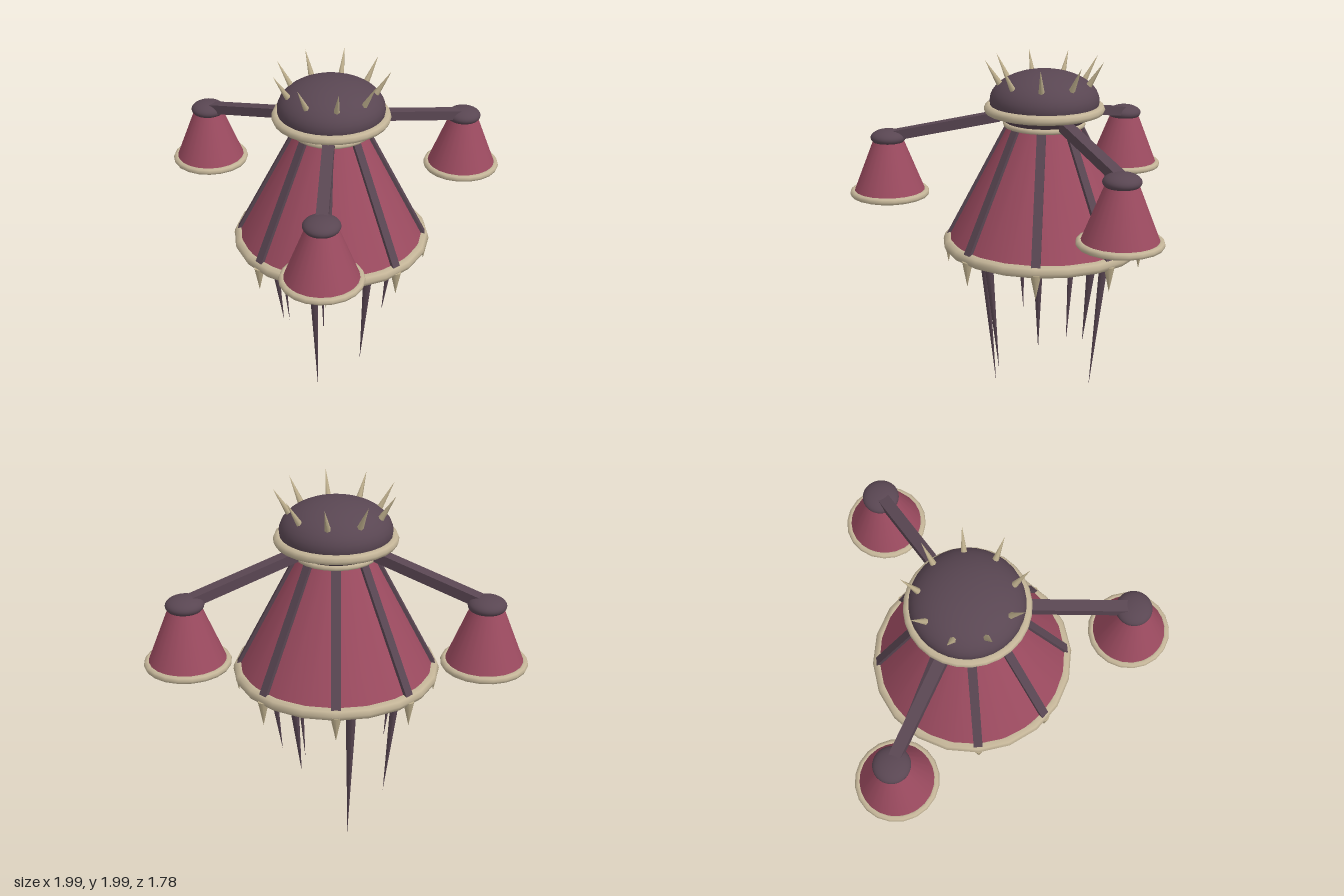
import * as THREE from 'three';

const mat = (name, color, side = THREE.FrontSide) => {
  const m = new THREE.MeshStandardMaterial({ color, side });
  m.name = name;
  return m;
};

export function createModel() {
  const dark = mat('dark purple metal', 0x594652);
  const red = mat('red shell', 0x9c4b60, THREE.DoubleSide);
  const bone = mat('bone trim', 0xc4b598);
  const horn = mat('horn', 0xbdae8c);
  const glow = mat('green glow', 0x74d04a);

  const add = (parent, name, geometry, material, x = 0, y = 0, z = 0) => {
    const mesh = new THREE.Mesh(geometry, material);
    mesh.name = name;
    mesh.position.set(x, y, z);
    parent.add(mesh);
    return mesh;
  };
  const ring = (parent, name, radius, tube, y, segments) =>
    add(parent, name, new THREE.TorusGeometry(radius, tube, 8, segments).rotateX(Math.PI / 2), bone, 0, y);
  const ball = (parent, name, material, radius, squash, y, z = 0) =>
    add(parent, name, new THREE.SphereGeometry(radius, 32, 20).scale(1, squash, 1), material, 0, y, z);

  // A part running between two [radius, height] points, in a plane facing outward along +z
  const span = (parent, name, material, [r0, y0], [r1, y1], makeGeometry) => {
    const length = Math.hypot(r1 - r0, y1 - y0);
    const mesh = add(parent, name, makeGeometry(length), material, 0, (y0 + y1) / 2, (r0 + r1) / 2);
    mesh.rotation.x = Math.atan2(r1 - r0, y1 - y0);
    return mesh;
  };
  const bar = (w, d) => (length) => new THREE.BoxGeometry(w, length, d);
  const spike = (r, sides) => (length) => new THREE.ConeGeometry(r, length, sides);

  const model = new THREE.Group();
  model.name = 'hangingLantern';
  const body = new THREE.Group();
  body.name = 'body';
  body.position.z = -0.222;
  model.add(body);

  // Repeat a part evenly around the body axis; angle 0 faces the front
  const around = (name, count, start, build) => {
    for (let i = 0; i < count; i++) {
      const arm = new THREE.Group();
      arm.name = name;
      arm.rotation.y = start - (i / count) * Math.PI * 2;
      body.add(arm);
      build(arm, i);
    }
  };

  // Main shell, head and trim rings
  add(body, 'mainShell', new THREE.CylinderGeometry(0.2, 0.55, 0.68, 24, 1, true), red, 0, 1.285);
  ring(body, 'shellRim', 0.54, 0.035, 0.945, 20);
  ring(body, 'neckRing', 0.215, 0.016, 1.632, 24);
  ball(body, 'dome', dark, 0.305, 0.55, 1.763);
  ring(body, 'domeRing', 0.31, 0.027, 1.717, 28);
  ball(body, 'core', glow, 0.158, 1, 1.1);

  // Ribs down the shell, with a tooth below each one
  around('ribAndTooth', 8, 0, (g) => {
    span(g, 'rib', dark, [0.2, 1.62], [0.543, 0.96], bar(0.05, 0.03));
    span(g, 'tooth', horn, [0.548, 0.935], [0.55, 0.79], spike(0.03, 8));
  });

  // Spikes crowning the dome
  around('domeSpike', 9, Math.PI / 2, (g) => {
    span(g, 'spike', horn, [0.243, 1.848], [0.33, 1.99], spike(0.019, 6));
  });

  // Tentacles of three lengths, each with a glowing bead inside the rim
  around('tentacle', 7, Math.PI / 2, (g, i) => {
    const tip = [[0.31, 0.4], [0.3, 0.2], [0.287, 0]][i % 3];
    span(g, 'tentacleSpine', dark, [0.378, 0.96], tip, spike(0.032, 6));
    ball(g, 'bead', glow, 0.023, 1, 0.955, 0.34);
  });

  // Three arms, each carrying a small lamp
  around('lampArm', 3, 0, (g) => {
    span(g, 'arm', dark, [0.25, 1.668], [0.885, 1.535], bar(0.065, 0.055));
    const lamp = new THREE.Group();
    lamp.name = 'lamp';
    lamp.position.z = 0.885;
    g.add(lamp);
    add(lamp, 'lampShade', new THREE.CylinderGeometry(0.085, 0.208, 0.31, 24, 1, true), red, 0, 1.36);
    ring(lamp, 'lampRim', 0.208, 0.02, 1.207, 20);
    ball(lamp, 'lampCap', dark, 0.1, 0.47, 1.528);
    ball(lamp, 'lampBulb', glow, 0.068, 1, 1.27);
  });

  return model;
}
